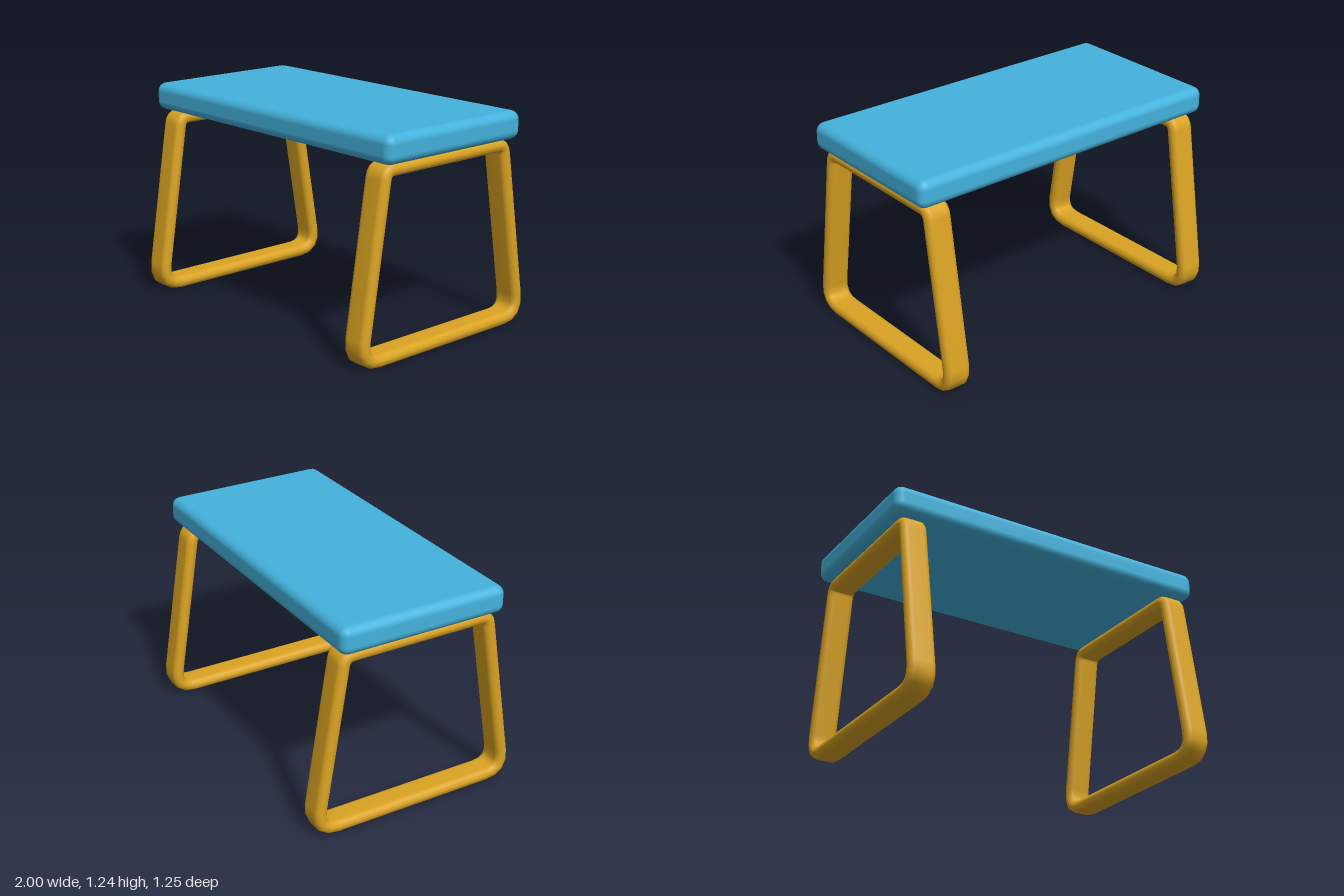
import * as THREE from 'three';
import { RoundedBoxGeometry } from 'three/addons/geometries/RoundedBoxGeometry.js';

// Closed centreline of one leg frame as (z, y) points with rounded corners
function framePath() {
  const corner = (a, c, b, n) => new THREE.QuadraticBezierCurve(
    new THREE.Vector2(...a), new THREE.Vector2(...c), new THREE.Vector2(...b)).getPoints(n);
  const half = [
    ...corner([0.48, 0.038], [0.605, 0.038], [0.585, 0.165], 4),
    ...corner([0.45, 1.0], [0.443, 1.05], [0.395, 1.05], 4),
  ];
  const mirrored = half.map((p) => new THREE.Vector2(-p.x, p.y)).reverse();
  return [...half, ...mirrored];
}

// Rounded rectangle cross-section, u across the bar and v through its thickness
function barSection(halfU, halfV, r, steps) {
  const pts = [];
  [[1, 1], [-1, 1], [-1, -1], [1, -1]].forEach(([su, sv], q) => {
    for (let k = 0; k <= steps; k++) {
      const a = (q + k / steps) * Math.PI / 2;
      pts.push([su * (halfU - r) + r * Math.cos(a), sv * (halfV - r) + r * Math.sin(a)]);
    }
  });
  return pts;
}

// Sweep the section round the closed path with mitred joints
function frameGeometry() {
  const path = framePath();
  const section = barSection(0.077, 0.0365, 0.034, 4);
  const n = path.length, m = section.length;
  const pos = [], index = [];
  path.forEach((p, i) => {
    const d0 = p.clone().sub(path[(i + n - 1) % n]).normalize();
    const d1 = path[(i + 1) % n].clone().sub(p).normalize();
    const t = d0.clone().add(d1).normalize();
    const mitre = 1 / t.dot(d1);
    for (const [u, v] of section) {
      pos.push(u, p.y - t.x * v * mitre, p.x + t.y * v * mitre);
    }
    const next = (i + 1) % n;
    for (let j = 0; j < m; j++) {
      const k = (j + 1) % m;
      const a = i * m + j, b = next * m + j, c = next * m + k, d = i * m + k;
      index.push(a, b, c, a, c, d);
    }
  });
  const geo = new THREE.BufferGeometry();
  geo.setAttribute('position', new THREE.Float32BufferAttribute(pos, 3));
  geo.setIndex(index);
  geo.computeVertexNormals();
  return geo;
}

export function createModel() {
  const group = new THREE.Group();
  group.name = 'bench';
  const blue = new THREE.MeshStandardMaterial({ color: 0x44b2dc });
  blue.name = 'blue seat';
  const gold = new THREE.MeshStandardMaterial({ color: 0xdaa322 });
  gold.name = 'golden frame';

  // Seat slab with rounded edges
  const seat = new THREE.Mesh(new RoundedBoxGeometry(2, 0.158, 1, 3, 0.05), blue);
  seat.name = 'seat';
  seat.position.y = 1.166;
  group.add(seat);

  // Two trapezoid leg frames
  const geo = frameGeometry();
  for (const [name, side] of [['leftLegFrame', 1], ['rightLegFrame', -1]]) {
    const leg = new THREE.Mesh(geo, gold);
    leg.name = name;
    leg.position.x = side * 0.873;
    group.add(leg);
  }
  return group;
}
